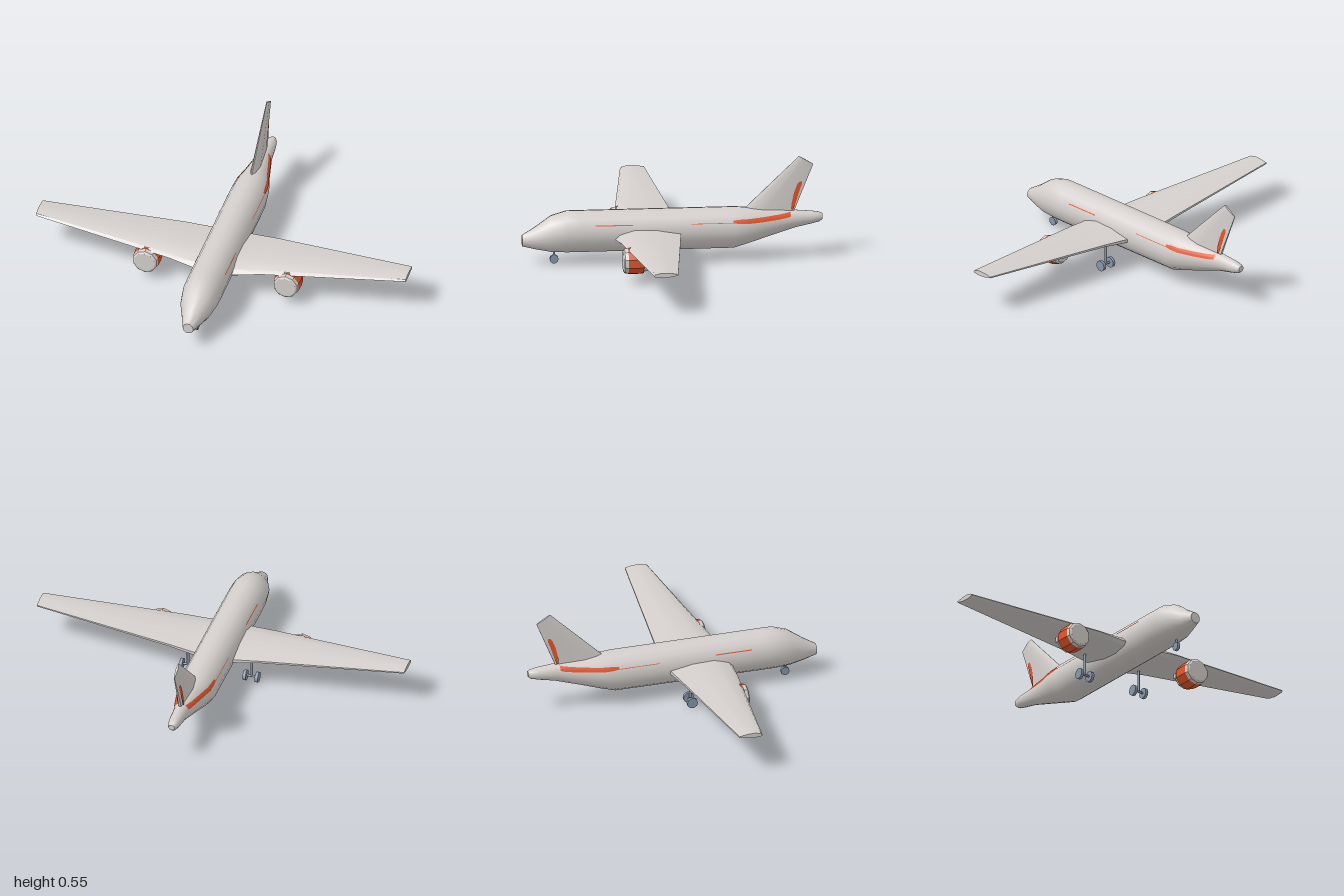
import * as THREE from 'three';
import { toCreasedNormals } from 'three/addons/utils/BufferGeometryUtils.js';

const SIDES = 16;

// Fuselage stations: z, bottom y, top y, half width
const HULL = [
  [0.78, 0.10, 0.16, 0.028], [0.714, 0.083, 0.20, 0.052], [0.63, 0.067, 0.26, 0.085],
  [0.55, 0.063, 0.285, 0.098], [0.48, 0.063, 0.285, 0.1], [-0.32, 0.066, 0.285, 0.1],
  [-0.40, 0.09, 0.28, 0.092], [-0.48, 0.115, 0.273, 0.07], [-0.64, 0.165, 0.26, 0.037],
  [-0.73, 0.185, 0.252, 0.032], [-0.77, 0.195, 0.246, 0.024], [-0.785, 0.207, 0.238, 0.016],
];

// Skin closed rings of points and cap both ends, always facing outwards
function loft(rings, crease) {
  const n = rings[0].length;
  const pts = rings.flat();
  const tris = [];
  for (let r = 0; r < rings.length - 1; r++) {
    for (let i = 0; i < n; i++) {
      const a = r * n + i, b = r * n + (i + 1) % n;
      tris.push([a, b, a + n], [b, b + n, a + n]);
    }
  }
  const last = (rings.length - 1) * n;
  for (let i = 1; i < n - 1; i++) tris.push([0, i + 1, i], [last, last + i, last + i + 1]);
  let volume = 0;
  for (const [a, b, c] of tris) volume += pts[a].dot(pts[b].clone().cross(pts[c]));
  const geo = new THREE.BufferGeometry().setFromPoints(pts);
  geo.setIndex(tris.flatMap(([a, b, c]) => (volume > 0 ? [a, b, c] : [a, c, b])));
  return toCreasedNormals(geo, crease);
}

// Open strip between two rows of points
function ribbon(rowA, rowB) {
  const n = rowA.length, index = [];
  for (let i = 0; i < n - 1; i++) index.push(i, i + 1, n + i, i + 1, n + i + 1, n + i);
  const geo = new THREE.BufferGeometry().setFromPoints([...rowA, ...rowB]);
  geo.setIndex(index);
  geo.computeVertexNormals();
  return geo;
}

// Half width of the fuselage at a given z and y
function hullX(z, y) {
  const i = Math.max(1, HULL.findIndex((s) => s[0] <= z));
  const p = HULL[i - 1], q = HULL[i];
  const [, lo, hi, w] = p.map((v, k) => THREE.MathUtils.lerp(v, q[k], (p[0] - z) / (p[0] - q[0])));
  const v = (y - (lo + hi) / 2) / ((hi - lo) / 2);
  return w * Math.sqrt(Math.max(0, 1 - v * v));
}

export function createModel() {
  const model = new THREE.Group();
  model.name = 'airliner';
  const material = (name, color, side = THREE.FrontSide) => {
    const m = new THREE.MeshStandardMaterial({ color, side });
    m.name = name;
    return m;
  };
  const paint = material('light grey paint', 0xd4cfcc);
  const orange = material('orange trim', 0xe4562a, THREE.DoubleSide);
  const steel = material('blue grey steel', 0x8796aa);
  const add = (name, geo, mat, x = 0, y = 0, z = 0) => {
    const mesh = new THREE.Mesh(geo, mat);
    mesh.name = name;
    mesh.position.set(x, y, z);
    model.add(mesh);
    return mesh;
  };
  const V = (x, y, z) => new THREE.Vector3(x, y, z);

  // Fuselage
  add('fuselage', loft(HULL.map(([z, lo, hi, w]) =>
    Array.from({ length: SIDES }, (_, i) => {
      const a = (i / SIDES) * Math.PI * 2;
      return V(w * Math.cos(a), (lo + hi) / 2 + ((hi - lo) / 2) * Math.sin(a), z);
    })), 0.9), paint);

  // Tail fin: rings of chord fraction and half thickness
  const finRing = (zF, yF, zB, yB, t) =>
    [[0, 0.12], [0.12, 0.65], [0.4, 1], [1, 0.3], [1, -0.3], [0.4, -1], [0.12, -0.65], [0, -0.12]]
      .map(([s, k]) => V(k * t, THREE.MathUtils.lerp(yF, yB, s), THREE.MathUtils.lerp(zF, zB, s)));
  add('tailFin', loft([
    finRing(-0.354, 0.25, -0.635, 0.25, 0.022),
    finRing(-0.664, 0.55, -0.738, 0.505, 0.006),
  ], 0.6), paint);

  const wingProfile = [[0, 0.35], [0.06, 0.68], [0.3, 1], [0.65, 0.95], [1, 0.68],
    [1, 0.42], [0.6, 0.05], [0.3, 0], [0.06, 0.12]];
  // Wing stations: x, leading z, trailing z, bottom y, top y
  const wingStations = [[0.05, 0.306, -0.044, 0.115, 0.2], [0.12, 0.298, -0.037, 0.128, 0.196],
    [0.25, 0.28, -0.025, 0.155, 0.199], [1, 0.18, 0.055, 0.203, 0.229]];

  const wheel = (name, r, w, x, y, z) => {
    add(name, new THREE.CylinderGeometry(r, r, w, 10), steel, x, y, z).rotation.z = Math.PI / 2;
  };
  const turned = (profile) => {
    const geo = new THREE.LatheGeometry(profile.map(([r, z]) => new THREE.Vector2(r, z)), 10);
    return toCreasedNormals(geo.rotateX(Math.PI / 2), 0.5);
  };

  for (const s of [1, -1]) {
    const side = s > 0 ? 'left' : 'right';

    // Wing
    add(side + 'Wing', loft(wingStations.map(([x, zL, zT, lo, hi]) =>
      wingProfile.map(([c, v]) => V(s * x, lo + (hi - lo) * v, zL + (zT - zL) * c))), 0.5), paint);

    // Engine: rear cone, orange cowl, front lip, pylon
    const ex = s * 0.38, ey = 0.118;
    add(side + 'EngineRear', turned([[0, 0.148], [0.046, 0.148], [0.058, 0.16], [0.06, 0.19]]), paint, ex, ey);
    add(side + 'EngineCowl', turned([[0.055, 0.182], [0.069, 0.182], [0.072, 0.22], [0.07, 0.262]]), orange, ex, ey);
    add(side + 'EngineLip', turned([[0.07, 0.262], [0.066, 0.28], [0.056, 0.287], [0, 0.287]]), paint, ex, ey);
    add(side + 'EnginePylon', new THREE.BoxGeometry(0.03, 0.05, 0.16), paint, ex, 0.165, 0.17);

    // Main landing gear
    const gx = s * 0.173;
    add(side + 'GearStrut', new THREE.CylinderGeometry(0.007, 0.007, 0.125, 8), steel, gx, 0.092, 0.045);
    add(side + 'GearAxle', new THREE.CylinderGeometry(0.006, 0.006, 0.066, 8), steel, gx, 0.03, 0.045)
      .rotation.z = Math.PI / 2;
    for (const d of [-0.033, 0.033]) wheel(side + 'GearWheel', 0.029, 0.016, gx + d, 0.029, 0.045);

    // Fuselage stripes: z, low y, high y
    const stripe = (name, rows) => {
      const row = (k) => rows.map((p) => V(s * (hullX(p[0], p[k]) + 0.002), p[k], p[0]));
      const middle = rows.map(([z, lo, hi]) => V(s * (hullX(z, (lo + hi) / 2) + 0.002), (lo + hi) / 2, z));
      add(name, ribbon(row(1), middle), orange);
      add(name + 'Upper', ribbon(middle, row(2)), orange);
    };
    stripe(side + 'TailStripe', [[-0.315, 0.222, 0.234], [-0.345, 0.217, 0.237], [-0.40, 0.215, 0.238],
      [-0.48, 0.217, 0.241], [-0.56, 0.224, 0.248], [-0.60, 0.229, 0.253], [-0.618, 0.234, 0.256]]);
    stripe(side + 'FrontStripe', [[0.405, 0.222, 0.227], [0.21, 0.222, 0.227]]);
    stripe(side + 'RearStripe', [[-0.095, 0.221, 0.224], [-0.315, 0.221, 0.224]]);

    // Fin stripe: y, front z, rear z, x
    const finRows = [[0.265, -0.622, -0.632, 0.017], [0.30, -0.624, -0.645, 0.0155],
      [0.36, -0.638, -0.664, 0.0125], [0.4, -0.654, -0.678, 0.011], [0.415, -0.666, -0.678, 0.01]];
    add(side + 'FinStripe', ribbon(finRows.map(([y, zF, , x]) => V(s * x, y, zF)),
      finRows.map(([y, , zR, x]) => V(s * (x - 0.002), y, zR))), orange);
  }

  // Nose landing gear
  add('noseGearStrut', new THREE.CylinderGeometry(0.006, 0.006, 0.06, 8), steel, 0, 0.055, 0.613);
  wheel('noseGearWheel', 0.023, 0.016, 0, 0.027, 0.613);

  return model;
}
